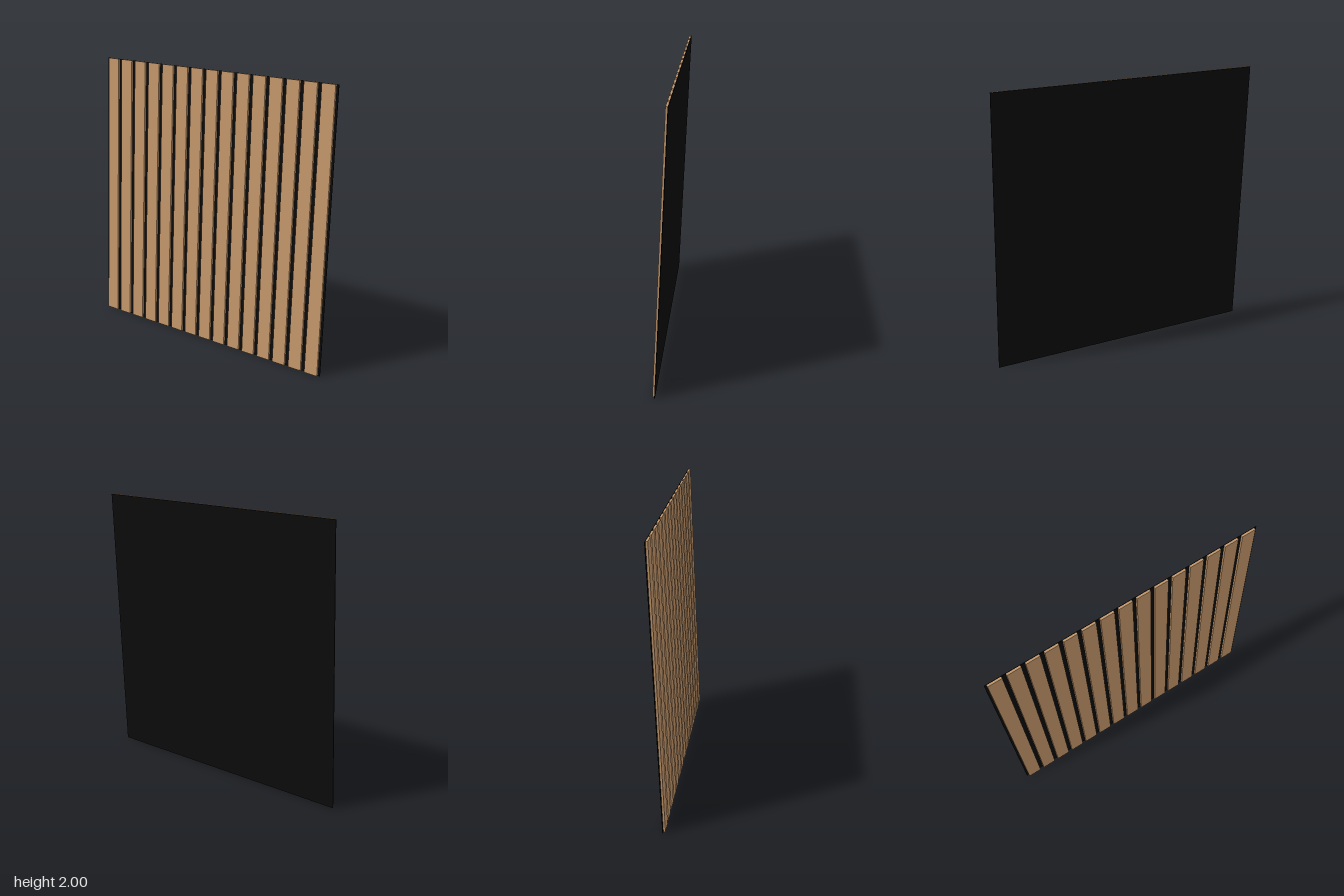
import * as THREE from 'three';

export function createModel() {
  const model = new THREE.Group();
  model.name = 'slattedPanel';

  const wood = new THREE.MeshStandardMaterial({ color: 0xc2966a });
  wood.name = 'oak wood';
  const felt = new THREE.MeshStandardMaterial({ color: 0x0b0b0b });
  felt.name = 'black felt';

  const width = 2, height = 2, count = 15;
  const backDepth = 0.005, slatDepth = 0.014;
  const depth = backDepth + slatDepth;
  const pitch = width / count;
  const slatWidth = pitch * 0.76;

  // Whole panel leans slightly backwards
  const panel = new THREE.Group();
  panel.name = 'leaningPanel';
  panel.position.y = height / 2;
  panel.rotation.x = -Math.atan(0.047);
  model.add(panel);

  // Felt backing sheet
  const backing = new THREE.Mesh(new THREE.BoxGeometry(width, height, backDepth), felt);
  backing.name = 'backing';
  backing.position.z = -depth / 2 + backDepth / 2;
  panel.add(backing);

  // Evenly spaced vertical slats
  const slatGeometry = new THREE.BoxGeometry(slatWidth, height, slatDepth);
  for (let i = 0; i < count; i++) {
    const slat = new THREE.Mesh(slatGeometry, wood);
    slat.name = `slat${i + 1}`;
    slat.position.set((i + 0.5) * pitch - width / 2, 0, depth / 2 - slatDepth / 2);
    panel.add(slat);
  }

  return model;
}
